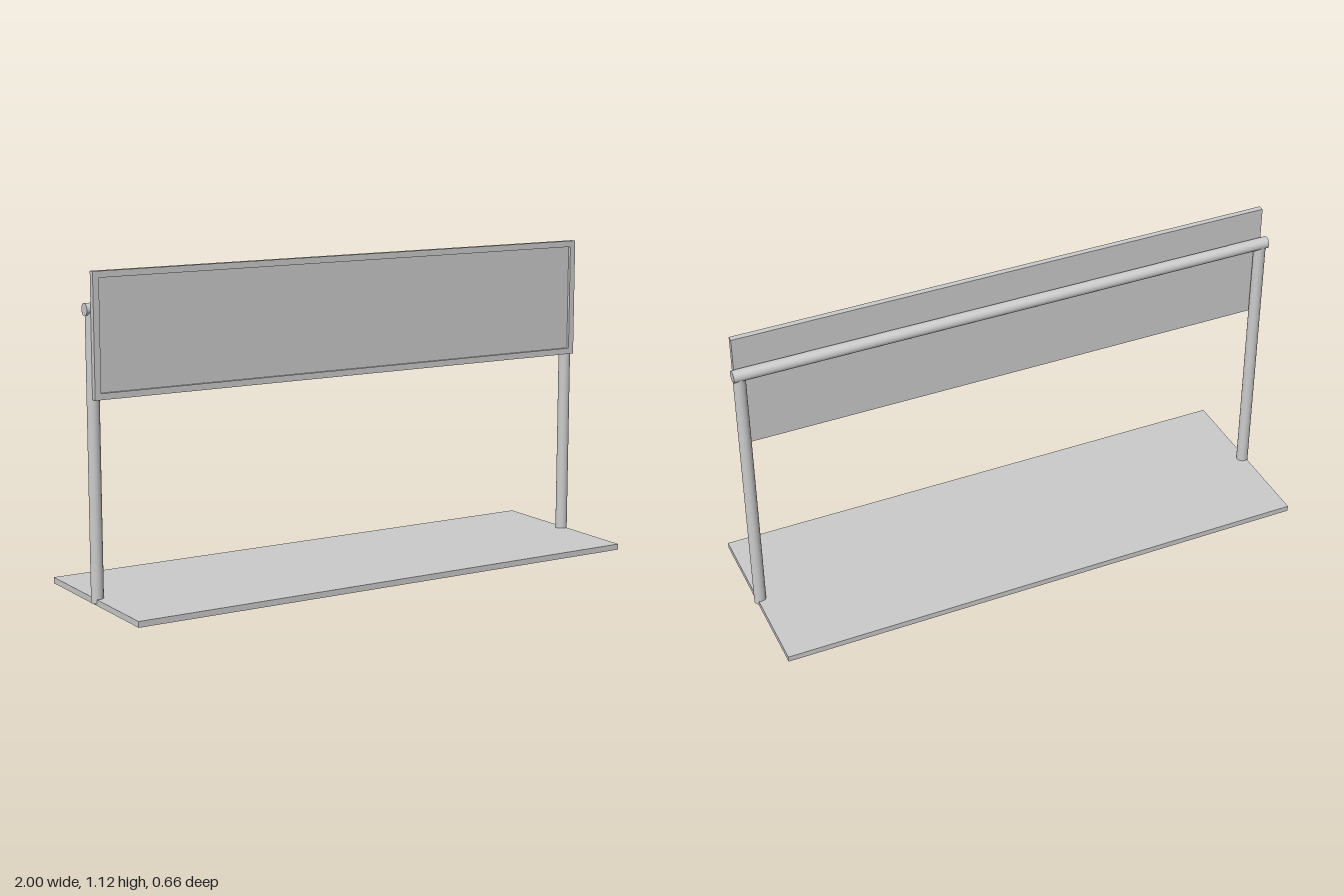
import * as THREE from 'three';

const material = new THREE.MeshStandardMaterial({ color: 0xcccccc });

function addPart(parent, name, geometry, x, y, z) {
  const mesh = new THREE.Mesh(geometry, material);
  mesh.name = name;
  mesh.position.set(x, y, z);
  parent.add(mesh);
  return mesh;
}

function rectangle(PathType, w, h) {
  const path = new PathType();
  path.moveTo(-w / 2, -h / 2);
  path.lineTo(w / 2, -h / 2);
  path.lineTo(w / 2, h / 2);
  path.lineTo(-w / 2, h / 2);
  path.closePath();
  return path;
}

export function createModel() {
  const model = new THREE.Group();
  model.name = 'signStand';
  const tube = 0.0215;

  // Flat base plate
  addPart(model, 'basePlate', new THREE.BoxGeometry(1.974, 0.021, 0.66), 0, 0.0105, 0);

  // Upright posts, sunk into the base and into the crossbar
  const postBottom = 0.006, postTop = 0.99;
  for (const [side, name] of [[1, 'leftPost'], [-1, 'rightPost']]) {
    addPart(model, name, new THREE.CylinderGeometry(tube, tube, postTop - postBottom, 32),
      side * 0.976, (postTop + postBottom) / 2, 0);
  }

  // Horizontal crossbar
  const bar = addPart(model, 'crossbar', new THREE.CylinderGeometry(tube, tube, 2, 32), 0, 0.994, -0.003);
  bar.rotation.z = Math.PI / 2;

  // Sign panel: a backing sheet with a raised rim around its front
  const sign = new THREE.Group();
  sign.name = 'signPanel';
  sign.position.set(0, 0.91, 0.018);
  model.add(sign);
  const w = 1.974, h = 0.425, rim = 0.022, depth = 0.021, recess = 0.0105;
  const frame = rectangle(THREE.Shape, w, h);
  frame.holes.push(rectangle(THREE.Path, w - 2 * rim, h - 2 * rim));
  addPart(sign, 'signFrame',
    new THREE.ExtrudeGeometry(frame, { depth, bevelEnabled: false }), 0, 0, 0);
  addPart(sign, 'signBoard',
    new THREE.BoxGeometry(w - 2 * rim, h - 2 * rim, depth - recess), 0, 0, (depth - recess) / 2);

  return model;
}
